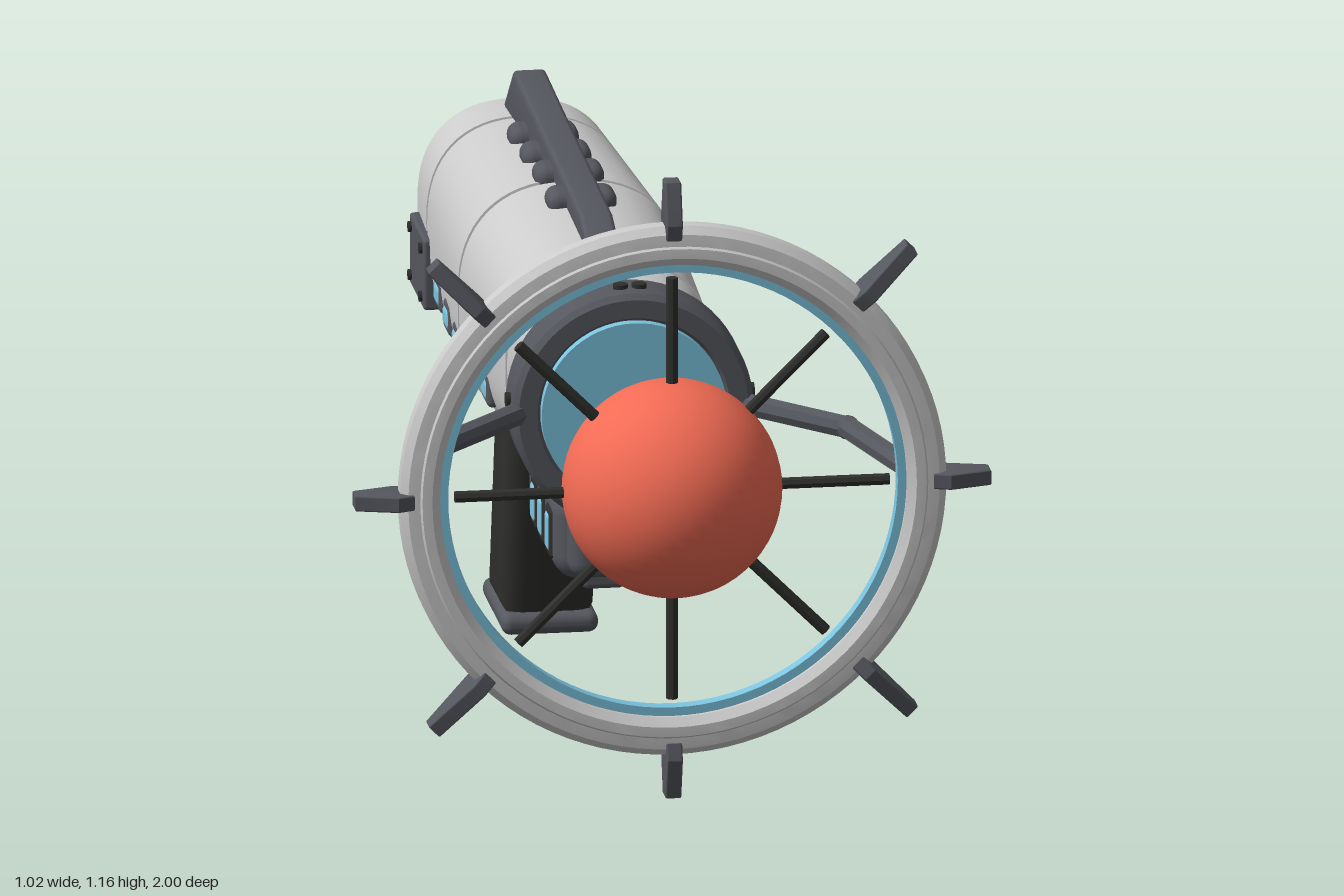
import * as THREE from 'three';
import { toCreasedNormals } from 'three/addons/utils/BufferGeometryUtils.js';
import { RoundedBoxGeometry } from 'three/addons/geometries/RoundedBoxGeometry.js';

const mat = (color) => new THREE.MeshStandardMaterial({ color });
const shell = mat(0xcccccc), steel = mat(0x55575e), dark = mat(0x2f2f2d);
const blue = mat(0x7cc4e0), red = mat(0xf26b54);
const AXIS = 0.648, RING_Z = 0.825;

// Hull sections from front to back: z, half width, top, bottom
const hull = [
  [0.33, 0.148, 0.798, 0.492], [0.127, 0.166, 0.816, 0.475], [-0.296, 0.182, 0.826, 0.435],
  [-0.762, 0.165, 0.793, 0.433], [-0.9, 0.16, 0.782, 0.435], [-1, 0.09, 0.705, 0.492],
];

function hullAt(z) {
  let i = 0;
  while (i < hull.length - 2 && hull[i + 1][0] > z) i++;
  const t = (hull[i][0] - z) / (hull[i][0] - hull[i + 1][0]);
  return hull[i].map((v, k) => v + (hull[i + 1][k] - v) * t);
}

// Half width of the hull at a given height on its lower flank
function flankX(z, y) {
  const [, w, top, bottom] = hullAt(z), mid = (top + bottom) / 2 + 0.01;
  return w * Math.cbrt(1 - ((mid - y) / (mid - bottom)) ** 3);
}

// Rounded sections joined along z, with narrow panel grooves
function hullGeometry() {
  const rows = [];
  hull.forEach((s, i) => {
    if (i > 0 && i < 4) {
      for (const [dz, inset] of [[0.007, 0], [0.006, 0.007], [-0.006, 0.007], [-0.007, 0]]) {
        const [z, w, t, b] = hullAt(s[0] + dz);
        rows.push([z, w - inset, t - inset, b + inset]);
      }
    } else rows.push(s);
  });
  const N = 64, pos = [], idx = [];
  for (const [z, w, top, bottom] of rows) {
    const mid = (top + bottom) / 2 + 0.01;
    for (let j = 0; j < N; j++) {
      const a = (j / N) * Math.PI * 2, c = Math.cos(a), s = Math.sin(a);
      const e = 2 / (s >= 0 ? 2.4 : 3), h = s >= 0 ? top - mid : mid - bottom;
      pos.push(Math.sign(c) * w * Math.abs(c) ** e, mid + Math.sign(s) * h * Math.abs(s) ** e, z);
    }
  }
  for (let i = 0; i < rows.length - 1; i++) for (let j = 0; j < N; j++) {
    const a = i * N + j, b = i * N + (j + 1) % N;
    idx.push(a, a + N, b, b, a + N, b + N);
  }
  const last = (rows.length - 1) * N;
  pos.push(0, 0.6, -1);
  for (let j = 0; j < N; j++) idx.push(rows.length * N, last + (j + 1) % N, last + j);
  const g = new THREE.BufferGeometry();
  g.setAttribute('position', new THREE.Float32BufferAttribute(pos, 3));
  g.setIndex(idx);
  return toCreasedNormals(g, 0.45);
}

// Side outline given as [z, y] points, extruded across x
function sideProfile(points, width, bevel) {
  const shape = new THREE.Shape(points.map(([z, y]) => new THREE.Vector2(z, y)));
  const g = new THREE.ExtrudeGeometry(shape, {
    depth: width - 2 * bevel, bevelEnabled: bevel > 0, bevelSize: bevel,
    bevelThickness: bevel, bevelOffset: -bevel, bevelSegments: 4,
  });
  g.translate(0, 0, -(width - 2 * bevel) / 2);
  g.rotateY(-Math.PI / 2);
  return toCreasedNormals(g, 0.5);
}

export function createModel() {
  const model = new THREE.Group();
  const add = (name, geo, material, x = 0, y = 0, z = 0, parent = model) => {
    const m = new THREE.Mesh(geo, material);
    m.name = name;
    m.position.set(x, y, z);
    parent.add(m);
    return m;
  };
  const block = (w, h, d, r) => new RoundedBoxGeometry(w, h, d, 4, r);
  const rod = (name, a, b, r, material, sides = 8) => {
    const p = new THREE.Vector3(...a), q = new THREE.Vector3(...b), d = q.clone().sub(p);
    const g = toCreasedNormals(new THREE.CylinderGeometry(r, r, d.length(), sides), 0.5);
    const m = add(name, g, material, ...p.clone().add(q).multiplyScalar(0.5));
    m.quaternion.setFromUnitVectors(new THREE.Vector3(0, 1, 0), d.normalize());
    return m;
  };

  // Body, collar and lens
  add('body', hullGeometry(), shell);
  const collar = [[0, 0.305], [0.185, 0.305], [0.194, 0.314], [0.194, 0.391], [0.185, 0.4], [0.155, 0.4], [0.15, 0.39], [0, 0.39]];
  const lathe = (pts, n) => toCreasedNormals(
    new THREE.LatheGeometry(pts.map(([r, z]) => new THREE.Vector2(r, z)), n).rotateX(Math.PI / 2), 0.5);
  add('collar', lathe(collar, 64), steel, 0, AXIS);
  add('lens', lathe([[0.149, 0.38], [0.149, 0.407], [0, 0.407]], 64), blue, 0, AXIS);
  for (let i = 0; i < 4; i++) for (const s of [-1, 1]) {
    const a = (i * Math.PI) / 2, c = Math.cos(a), n = Math.sin(a), o = s * 0.015;
    rod('collarBolt', [c * 0.185 - n * o, AXIS + n * 0.185 + c * o, 0.355],
      [c * 0.2 - n * o, AXIS + n * 0.2 + c * o, 0.355], 0.012, dark, 16);
  }

  // Top rail with side lugs
  add('topRail', sideProfile([[0.07, 0.81], [0.07, 0.822], [-0.02, 0.853], [-0.76, 0.87], [-0.86, 0.785], [-0.8, 0.77]], 0.054, 0.008), steel);
  for (const z of [-0.19, -0.33, -0.47, -0.61]) add('railLug', block(0.112, 0.04, 0.066, 0.019), steel, 0, hullAt(z)[2] + 0.002, z);

  // Side windows and bolted plates
  for (const s of [-1, 1]) {
    for (let i = 0; i < 5; i++) {
      const z = -0.08 - i * 0.13, x = s * (flankX(z, 0.553) - 0.006);
      add('windowFrame', block(0.022, 0.054, 0.07, 0.0105), steel, x, 0.553, z);
      add('window', block(0.028, 0.04, 0.056, 0.0135), blue, x, 0.553, z);
    }
    add('sidePlate', block(0.04, 0.118, 0.16, 0.006), steel, s * 0.156, 0.547, -0.8);
    for (const y of [0.507, 0.587]) for (const z of [-0.86, -0.74])
      rod('plateBolt', [s * 0.17, y, z], [s * 0.181, y, z], 0.009, dark, 12);
  }

  // Grip, base plate, finger ridges and trigger
  add('grip', sideProfile([[-0.435, 0.47], [-0.542, 0.02], [-0.725, 0.02], [-0.628, 0.47]], 0.15, 0.035), dark);
  add('gripBase', block(0.156, 0.035, 0.232, 0.016), steel, 0, 0.0175, -0.636);
  for (let i = 0; i < 5; i++) {
    const y = 0.375 - i * 0.053;
    add('fingerRidge', block(0.116, 0.022, 0.04, 0.01), dark, 0, y, -0.468 - (0.43 - y) * 0.238);
  }
  add('trigger', sideProfile([[-0.355, 0.45], [-0.375, 0.39], [-0.39, 0.322], [-0.408, 0.322], [-0.4, 0.39], [-0.4, 0.45]], 0.03, 0.005), steel);
  add('guardBar', block(0.04, 0.018, 0.34, 0.007), dark, 0, 0.265, -0.35);

  // Pod slung under the body
  add('podMount', block(0.1, 0.1, 0.26, 0.01), steel, 0, 0.44, -0.07);
  add('pod', block(0.16, 0.152, 0.33, 0.042), steel, 0, 0.343, -0.082);
  add('podNose', block(0.124, 0.13, 0.06, 0.028), steel, 0, 0.347, 0.09);
  add('podFoot', block(0.07, 0.03, 0.07, 0.01), steel, 0, 0.268, 0.035);
  for (const s of [-1, 1]) for (const z of [0.018, -0.062, -0.142]) {
    add('podWindowFrame', block(0.016, 0.082, 0.056, 0.0075), dark, s * 0.076, 0.34, z);
    add('podWindow', block(0.022, 0.066, 0.04, 0.0105), blue, s * 0.076, 0.34, z);
  }

  // Ball, ring and inner glow band
  add('ball', new THREE.SphereGeometry(0.176, 48, 32), red, 0, AXIS, RING_Z);
  const ring = [[0.376, -0.018], [0.39, -0.03], [0.406, -0.03], [0.409, -0.026], [0.428, -0.024], [0.44, -0.012],
    [0.44, 0.012], [0.428, 0.024], [0.409, 0.026], [0.406, 0.03], [0.39, 0.03], [0.376, 0.018], [0.376, -0.018]];
  add('ring', lathe(ring, 96), shell, 0, AXIS, RING_Z);
  add('glowBand', lathe([[0.362, -0.012], [0.38, -0.012], [0.38, 0.012], [0.362, 0.012], [0.362, -0.012]], 96), blue, 0, AXIS, RING_Z);

  // Spokes and tapered fins around the ring
  for (let i = 0; i < 8; i++) {
    const a = (i * Math.PI) / 4, c = Math.cos(a), s = Math.sin(a), tip = i % 2 ? 0.545 : 0.512;
    rod('spoke', [c * 0.16, AXIS + s * 0.16, RING_Z], [c * 0.35, AXIS + s * 0.35, RING_Z], 0.0095, dark, 8);
    const fin = sideProfile([[-0.026, 0.418], [0.026, 0.418], [0.035, 0.445], [0.016, tip], [-0.016, tip], [-0.035, 0.445]], 0.026, 0.003);
    add('fin', fin, steel, 0, AXIS, RING_Z).rotation.z = a - Math.PI / 2;
  }

  // Bent arms holding the ring
  for (const s of [-1, 1]) {
    const path = [[0.165, 0.365], [0.325, 0.535], [0.4, 0.81]].map(([x, z]) => [s * x, AXIS, z]);
    rod('armRear', path[0], path[1], 0.019, steel);
    rod('armFront', path[1], path[2], 0.019, steel);
    add('armJoint', new THREE.SphereGeometry(0.0195, 16, 12), steel, ...path[1]);
  }
  return model;
}
